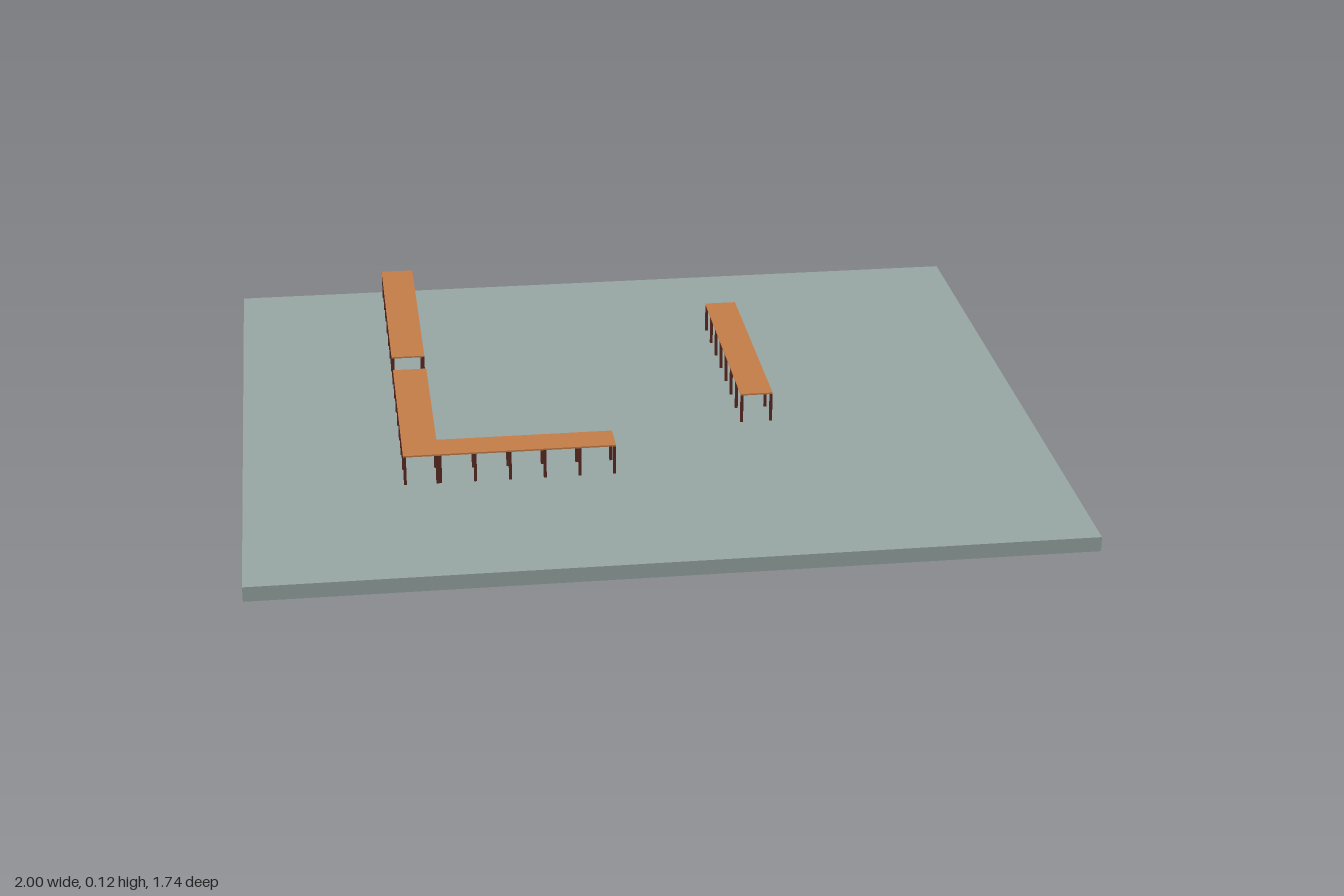
import * as THREE from 'three';

const BASE_TOP = 0.037, DECK_TOP = 0.115, DECK_THICK = 0.004, POST = 0.007, BAY = 0.087;

export function createModel() {
  const model = new THREE.Group();
  model.name = 'walkwaysOnSlab';
  const slabGrey = new THREE.MeshStandardMaterial({ name: 'slab grey', color: 0x99a8a5 });
  const deckOrange = new THREE.MeshStandardMaterial({ name: 'deck orange', color: 0xc67f4a });
  const postBrown = new THREE.MeshStandardMaterial({ name: 'post brown', color: 0x5c2a22 });

  function box(name, material, x0, x1, y0, y1, z0, z1, parent) {
    const mesh = new THREE.Mesh(new THREE.BoxGeometry(x1 - x0, y1 - y0, z1 - z0), material);
    mesh.position.set((x0 + x1) / 2, (y0 + y1) / 2, (z0 + z1) / 2);
    mesh.name = name;
    parent.add(mesh);
  }

  // Ground slab
  box('slab', slabGrey, -1, 1, 0, BASE_TOP, -0.868, 0.868, model);

  // Post positions along one side, with the end posts flush inside the deck
  function stations(a, b) {
    const bays = Math.round((b - a) / BAY);
    const lo = a + POST / 2, hi = b - POST / 2;
    return Array.from({ length: bays + 1 }, (_, i) => lo + (hi - lo) * i / bays);
  }

  // Deck outline as an extruded sheet; shape y runs along -z
  function deck(points, parent) {
    const shape = new THREE.Shape(points.map(([x, z]) => new THREE.Vector2(x, -z)));
    const geometry = new THREE.ExtrudeGeometry(shape, { depth: DECK_THICK, bevelEnabled: false });
    geometry.rotateX(-Math.PI / 2);
    const mesh = new THREE.Mesh(geometry, deckOrange);
    mesh.position.y = DECK_TOP - DECK_THICK;
    mesh.name = 'deck';
    parent.add(mesh);
  }

  // Posts under both edges of a rectangular run
  function posts(x0, x1, z0, z1, parent, used = new Set()) {
    for (const x of stations(x0, x1)) {
      for (const z of stations(z0, z1)) {
        const key = `${x.toFixed(2)},${z.toFixed(2)}`;
        if (used.has(key)) continue;
        used.add(key);
        box('post', postBrown, x - POST / 2, x + POST / 2, BASE_TOP,
          DECK_TOP - DECK_THICK, z - POST / 2, z + POST / 2, parent);
      }
    }
  }

  function walkway(name) {
    const group = new THREE.Group();
    group.name = name;
    model.add(group);
    return group;
  }

  // Two straight walkways
  for (const [name, x0, x1, z0, z1] of [
    ['backWalkway', -0.61, -0.524, -0.828, -0.218],
    ['leftWalkway', 0.261, 0.343, -0.482, 0.128],
  ]) {
    const group = walkway(name);
    deck([[x0, z0], [x1, z0], [x1, z1], [x0, z1]], group);
    posts(x0, x1, z0, z1, group);
  }

  // L-shaped walkway
  const corner = walkway('cornerWalkway');
  deck([[-0.61, -0.134], [-0.524, -0.134], [-0.524, 0.304], [-0.09, 0.304],
    [-0.09, 0.388], [-0.61, 0.388]], corner);
  const used = new Set();
  posts(-0.61, -0.524, -0.134, 0.388, corner, used);
  posts(-0.524, -0.09, 0.304, 0.388, corner, used);

  return model;
}
